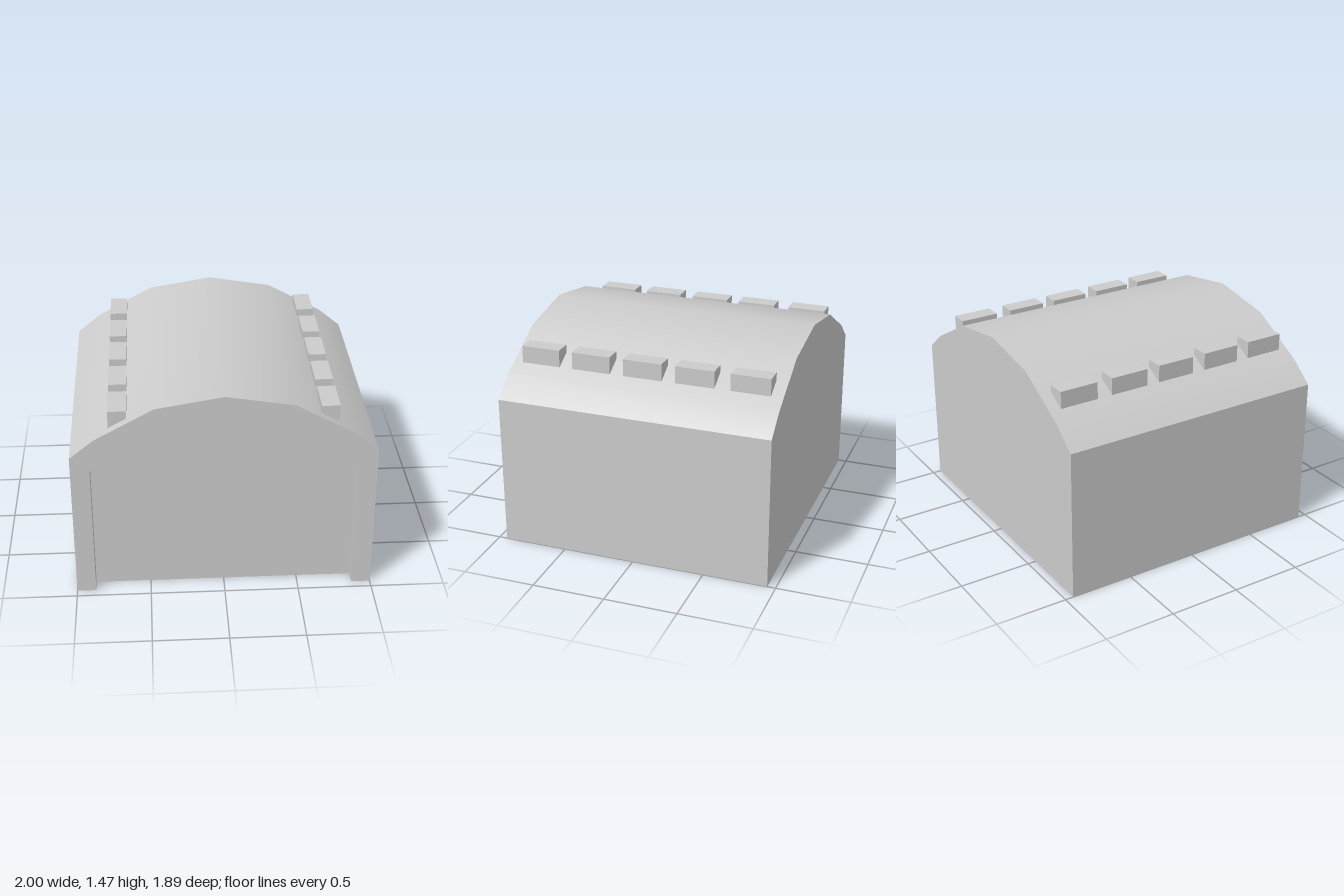
import * as THREE from 'three';

const material = new THREE.MeshStandardMaterial({ color: 0xcccccc, side: THREE.DoubleSide });
const DEPTH = 0.943;       // half the length of the building
const EAVE = 1.05;
const DOOR_X = 0.873, DOOR_H = 0.95, DOOR_Z = 0.85;

// Arched roof line, from the left eave over the ridge to the right eave
const halfArch = [[1, EAVE], [0.84, 1.18], [0.45, 1.395]];
const arch = [...halfArch, [0, 1.47], ...halfArch.map(([x, y]) => [-x, y]).reverse()];

function mesh(name, geometry) {
  const m = new THREE.Mesh(geometry, material);
  m.name = name;
  return m;
}

// Sweeps an xy profile along z; a counterclockwise profile faces outward
function sweep(profile, z0, z1, smooth) {
  const positions = [], index = [];
  profile.forEach(([x, y], i) => {
    positions.push(x, y, z0, x, y, z1);
    if (i > 0) {
      const a = 2 * i - 2, b = 2 * i;
      index.push(a, b, b + 1, a, b + 1, a + 1);
    }
  });
  let g = new THREE.BufferGeometry();
  g.setAttribute('position', new THREE.Float32BufferAttribute(positions, 3));
  g.setIndex(index);
  if (!smooth) g = g.toNonIndexed();
  g.computeVertexNormals();
  return g;
}

function panel(points) {
  return new THREE.ShapeGeometry(new THREE.Shape(points.map(([x, y]) => new THREE.Vector2(x, y))));
}

export function createModel() {
  const model = new THREE.Group();
  model.name = 'hangar';

  // Roof shell, smooth across the arch
  model.add(mesh('roof', sweep(arch, -DEPTH, DEPTH, true)));

  // Side walls with their footing strips
  model.add(mesh('leftWall', sweep([[DOOR_X, 0], [1, 0], [1, EAVE]], -DEPTH, DEPTH)));
  model.add(mesh('rightWall', sweep([[-1, EAVE], [-1, 0], [-DOOR_X, 0]], -DEPTH, DEPTH)));

  // Front gable with the doorway cut out of its lower edge
  const doorway = [[-DOOR_X, 0], [-DOOR_X, DOOR_H], [DOOR_X, DOOR_H], [DOOR_X, 0]];
  const front = mesh('frontWall', panel([...doorway, [1, 0], ...arch, [-1, 0]]));
  front.position.z = DEPTH;
  model.add(front);

  // Back gable
  const back = mesh('backWall', panel([[1, 0], ...arch, [-1, 0]]));
  back.rotation.y = Math.PI;
  back.position.z = -DEPTH;
  model.add(back);

  // Recessed door and its surround
  model.add(mesh('doorFrame', sweep(doorway, DOOR_Z, DEPTH)));
  const door = mesh('door', new THREE.PlaneGeometry(2 * DOOR_X, DOOR_H));
  door.position.set(0, DOOR_H / 2, DOOR_Z);
  model.add(door);

  // Two rows of roof vents
  const ventGeometry = new THREE.BoxGeometry(0.12, 0.12, 0.27);
  for (const [side, name] of [[1, 'leftVents'], [-1, 'rightVents']]) {
    const row = new THREE.Group();
    row.name = name;
    for (const z of [-0.725, -0.347, 0.015, 0.38, 0.743]) {
      const vent = mesh('vent', ventGeometry);
      vent.position.set(side * 0.685, 1.29, z);
      row.add(vent);
    }
    model.add(row);
  }
  return model;
}
